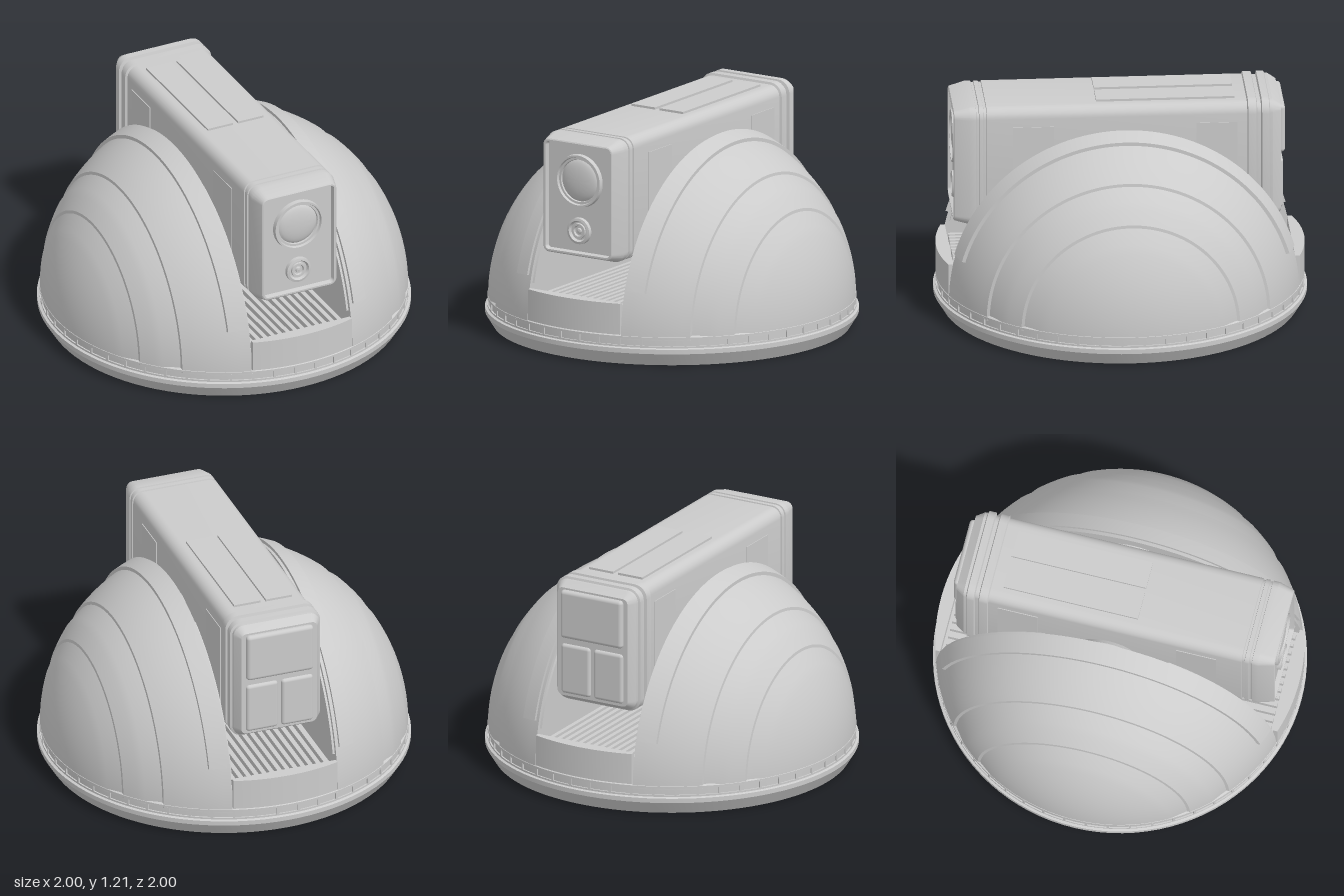
import * as THREE from 'three';
import { toCreasedNormals } from 'three/addons/utils/BufferGeometryUtils.js';
import { RoundedBoxGeometry } from 'three/addons/geometries/RoundedBoxGeometry.js';

const material = new THREE.MeshStandardMaterial({ color: 0xcccccc, side: THREE.DoubleSide });
const CY = 0.14; // height of the dome centre

function add(parent, name, geometry, x = 0, y = 0, z = 0) {
  const mesh = new THREE.Mesh(geometry, material);
  mesh.name = name;
  mesh.position.set(x, y, z);
  parent.add(mesh);
  return mesh;
}

// Turned part from [radius, axis] points, with sharp edges kept
function lathe(points, segments = 48, start = 0, length = Math.PI * 2) {
  const pts = points.map(([r, h]) => new THREE.Vector2(r, h));
  return toCreasedNormals(new THREE.LatheGeometry(pts, segments, start, length), 0.35);
}

// Skin of rounded-rectangle sections [z, halfWidth, bottom, top, cornerRadius]
function loft(sections, steps = 6) {
  const pos = [], index = [], n = 4 * (steps + 1);
  for (const [z, w, bottom, top, r] of sections) {
    for (let q = 0; q < 4; q++) {
      const cx = q === 0 || q === 3 ? w - r : r - w;
      const cy = q < 2 ? top - r : bottom + r;
      for (let s = 0; s <= steps; s++) {
        const a = (q + s / steps) * Math.PI / 2;
        pos.push(cx + r * Math.cos(a), cy + r * Math.sin(a), z);
      }
    }
  }
  for (let i = 0; i < sections.length - 1; i++) {
    for (let j = 0; j < n; j++) {
      const k = (j + 1) % n, a = i * n + j, b = i * n + k;
      index.push(a, b, b + n, a, b + n, a + n);
    }
  }
  const last = sections.length - 1;
  for (const [s, flip] of [[0, true], [last, false]]) {
    const c = pos.length / 3;
    pos.push(0, (sections[s][2] + sections[s][3]) / 2, sections[s][0]);
    for (let j = 0; j < n; j++) {
      const a = s * n + j, b = s * n + (j + 1) % n;
      index.push(c, flip ? b : a, flip ? a : b);
    }
  }
  const g = new THREE.BufferGeometry();
  g.setAttribute('position', new THREE.Float32BufferAttribute(pos, 3));
  g.setIndex(index);
  g.computeVertexNormals();
  return toCreasedNormals(g, 0.35);
}

function buildBase(root) {
  const base = new THREE.Group();
  base.name = 'base';
  root.add(base);
  add(base, 'baseRing', lathe([
    [0, 0], [0.955, 0], [0.998, 0.07], [0.998, 0.095], [0.985, 0.1], [0.985, 0.11],
    [0.977, 0.11], [0.977, 0.147], [0.985, 0.147], [0.985, 0.158], [0.975, 0.165], [0, 0.165],
  ], 96));
  // small ribs in the groove of the ring
  for (let i = 0; i < 52; i++) {
    const a = (i + 0.5) / 52 * Math.PI * 2;
    const rib = add(base, 'ringRib', new THREE.BoxGeometry(0.012, 0.04, 0.014),
      0.978 * Math.sin(a), 0.128, 0.978 * Math.cos(a));
    rib.rotation.y = a;
  }
  // grated floor of the slot
  add(base, 'slotFloor', new THREE.BoxGeometry(0.6, 0.1, 1.84), 0, 0.215, 0);
  for (let i = -6; i <= 6; i++) {
    add(base, 'floorRib', new THREE.BoxGeometry(0.024, 0.03, 1.8), i * 0.044, 0.28, 0);
  }
  // curved sills closing the slot at both ends
  const a = Math.acos(0.295 / 0.985);
  const shape = new THREE.Shape();
  shape.moveTo(-0.295, 0.915);
  shape.lineTo(0.295, 0.915);
  shape.absarc(0, 0, 0.985, a, Math.PI - a, false);
  for (const turn of [0, Math.PI]) {
    const g = new THREE.ExtrudeGeometry(shape, { depth: 0.17, bevelEnabled: false, curveSegments: 20 });
    g.rotateX(-Math.PI / 2).rotateY(turn);
    add(base, 'slotSill', toCreasedNormals(g, 0.35), 0, 0.165, 0);
  }
}

function buildShell(root, turn) {
  const shell = new THREE.Group();
  shell.name = 'domeHalf';
  shell.position.y = CY;
  shell.rotation.y = turn;
  root.add(shell);
  const R = 0.983;
  const at = (x, r = R) => [Math.sqrt(Math.max(0, r * r - x * x)), x];
  const arc = (x0, x1, n) => {
    const a0 = Math.asin(x0 / R), a1 = Math.asin(Math.min(1, x1 / R));
    return Array.from({ length: n + 1 }, (_, i) => at(R * Math.sin(a0 + (a1 - a0) * i / n)));
  };
  const stepDown = (x) => [at(x)[0] - 0.016, x + 0.002];
  // spherical shell with two stepped bands, turned about the x axis
  const profile = [[0, 0.3], ...arc(0.3, 0.625, 8), stepDown(0.625), ...arc(0.705, 0.79, 3),
    stepDown(0.79), ...arc(0.85, R, 10)];
  add(shell, 'domeShell', lathe(profile, 72, Math.PI, Math.PI).rotateZ(-Math.PI / 2));
  // raised rim along the slot edge
  const rim = [[0.9, 0.32], at(0.32, 1.0), at(0.365, 1.0), at(0.41, 1.0), [0.86, 0.41]];
  add(shell, 'domeRim', lathe(rim, 64, Math.PI + 0.282, Math.PI - 0.564).rotateZ(-Math.PI / 2));
  // inner wall strips, front and rear
  const strip = [[0.83, 0.3], [0.83, 0.288], [0.915, 0.288], [0.915, 0.3]];
  for (const start of [Math.PI + 0.24, 2 * Math.PI - 1.19]) {
    add(shell, 'innerWallStrip', lathe(strip, 24, start, 0.95).rotateZ(-Math.PI / 2));
  }
  // pivot between the wall and the head
  add(shell, 'pivot', lathe([
    [0, 0.22], [0.15, 0.22], [0.17, 0.25], [0.18, 0.265], [0.18, 0.275], [0.2, 0.275], [0.2, 0.31],
  ], 40).rotateZ(-Math.PI / 2), 0, 0.81 - CY, 0);
}

function buildHead(root) {
  const head = new THREE.Group();
  head.name = 'head';
  root.add(head);
  const body = (z, d = 0, r = 0.06) => [z, 0.245 + d, 0.525 - d, 1.195 + d, r + d];
  add(head, 'headBody', loft([
    body(-0.845, -0.03), body(-0.8), body(-0.785), body(-0.78, 0.012), body(-0.742, 0.012),
    body(-0.737, -0.005), body(-0.717, -0.005), body(-0.712, 0.012), body(-0.668, 0.012),
    body(-0.663), body(0.73), body(0.732, -0.007), body(0.745, -0.007), body(0.747),
    body(0.77), body(0.772, -0.007), body(0.785, -0.007), body(0.787), body(0.82),
    body(0.902, -0.024), body(0.906, -0.03), body(0.906, -0.039), body(0.88, -0.045),
  ]));
  // top plates
  for (const x of [-0.09, 0.09]) {
    add(head, 'topPlate', new THREE.BoxGeometry(0.15, 0.03, 0.74), x, 1.192, -0.23);
  }
  // thin side plates near both ends
  for (const x of [-0.243, 0.243]) {
    for (const z of [-0.5, 0.48]) {
      add(head, 'sidePlate', new THREE.BoxGeometry(0.012, 0.46, 0.22), x, 0.86, z);
    }
  }
  // rear panels
  add(head, 'rearUpperPanel', new RoundedBoxGeometry(0.38, 0.27, 0.05, 3, 0.02), 0, 1.02, -0.845);
  for (const x of [-0.1, 0.1]) {
    add(head, 'rearLowerPanel', new RoundedBoxGeometry(0.18, 0.28, 0.04, 3, 0.018), x, 0.71, -0.84);
  }
  // main lens: collar, well and domed glass
  add(head, 'lensCollar', lathe([
    [0.108, 0.86], [0.116, 0.89], [0.128, 0.89], [0.132, 0.904], [0.142, 0.904], [0.146, 0.875],
  ].reverse(), 48).rotateX(Math.PI / 2), 0, 0.96, 0);
  const glass = Array.from({ length: 9 }, (_, i) => {
    const a = i / 8 * Math.PI / 2;
    return [0.116 * Math.cos(a), 0.875 + 0.028 * Math.sin(a)];
  });
  add(head, 'lensGlass', lathe(glass, 48).rotateX(Math.PI / 2), 0, 0.96, 0);
  // small lower sensor
  add(head, 'sensor', lathe([
    [0.073, 0.875], [0.071, 0.9], [0.058, 0.903], [0.05, 0.888], [0.042, 0.888],
    [0.04, 0.897], [0.03, 0.897], [0.026, 0.886], [0.016, 0.886], [0.012, 0.894], [0, 0.897],
  ], 32).rotateX(Math.PI / 2), 0, 0.685, 0);
}

export function createModel() {
  const root = new THREE.Group();
  root.name = 'domeTurret';
  buildBase(root);
  buildShell(root, 0);
  buildShell(root, Math.PI);
  buildHead(root);
  return root;
}
